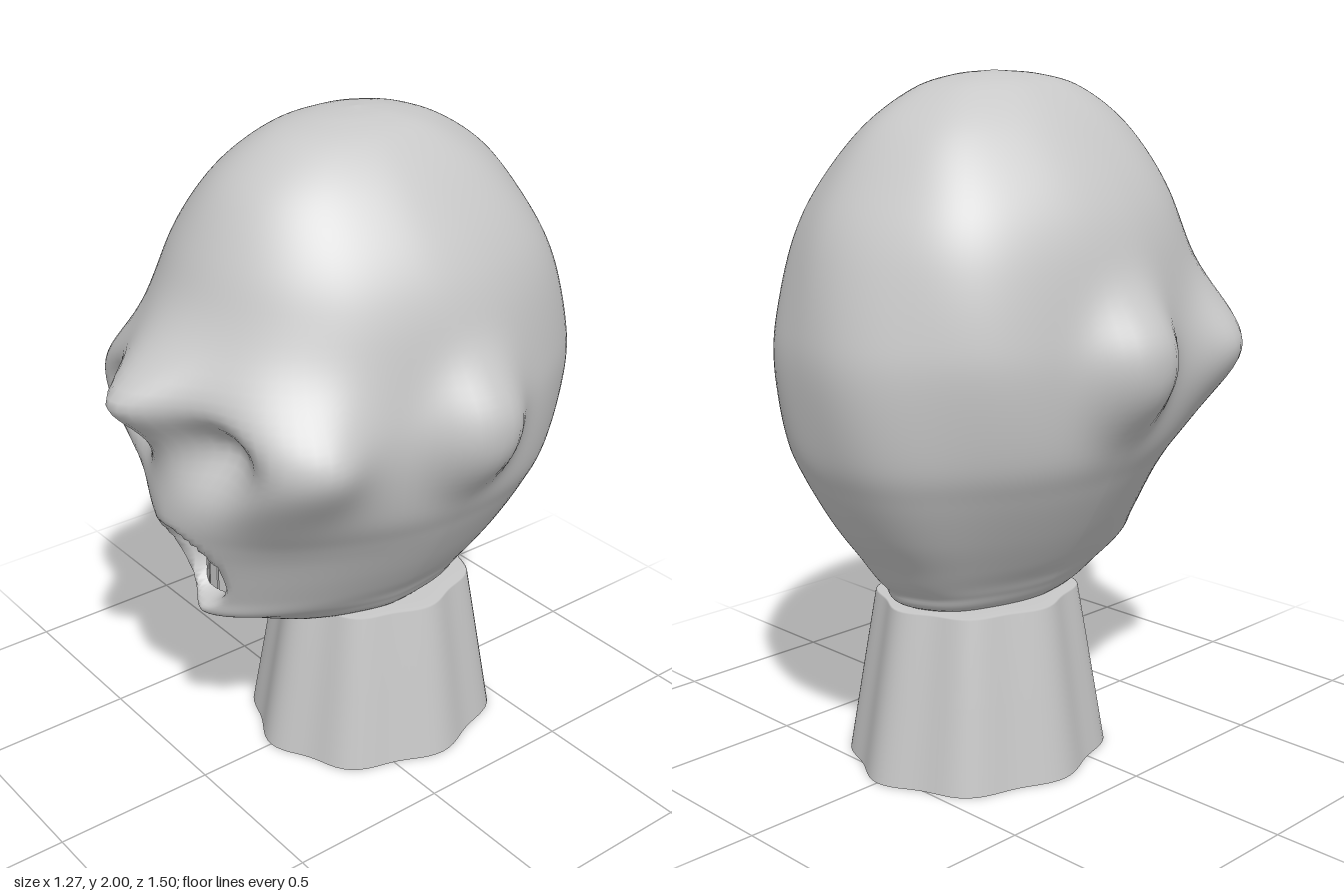
import * as THREE from 'three';

const ZC = -0.08; // head axis
// Head rows from crown to throat: height, half width, front z, back z
const ROWS = [
  [2, 0, -0.08, -0.08], [1.988, 0.1, 0.07, -0.2], [1.95, 0.195, 0.21, -0.33],
  [1.85, 0.31, 0.35, -0.48], [1.7, 0.425, 0.45, -0.6], [1.55, 0.49, 0.5, -0.68],
  [1.35, 0.525, 0.53, -0.735], [1.2, 0.53, 0.56, -0.75], [1.0, 0.5, 0.6, -0.725],
  [0.88, 0.445, 0.59, -0.68], [0.75, 0.37, 0.54, -0.61], [0.65, 0.305, 0.5, -0.54],
  [0.59, 0.26, 0.48, -0.5], [0.55, 0.235, 0.39, -0.465], [0.5, 0.195, 0.28, -0.42],
  [0.45, 0.1, 0.16, -0.2], [0.44, 0, -0.08, -0.08],
];

// Sculpted features: centre, spread, push, falloff power; mirrored in x when off the axis
const FEATURES = [
  { c: [0.53, 1.23, -0.08], s: [0.3, 0.18, 0.15], d: [0.105, 0, 0], p: 2.8 },    // ear
  { c: [0.38, 1.22, 0.37], s: [0.15, 0.17, 0.14], d: [0.13, 0, 0.01], p: 1.8 },  // cheekbone
  { c: [0.28, 1.2, 0.46], s: [0.1, 0.19, 0.15], d: [0.045, 0, 0.07], p: 2 },     // orbital rim
  { c: [0.18, 1.2, 0.54], s: [0.095, 0.11, 0.3], d: [0, 0.01, -0.12], p: 2 },    // eye socket
  { c: [0, 1.335, 0.53], s: [0.2, 0.14, 0.4], d: [0, 0, 0.22], p: 1.6 },         // brow point
  { c: [0, 0.77, 0.53], s: [0.085, 0.125, 0.4], d: [0, 0, -0.22], p: 6 },        // mouth
];

function sculpt(v) {
  const out = v.clone();
  for (const { c, s, d, p } of FEATURES) {
    for (const m of c[0] === 0 ? [1] : [1, -1]) {
      const r = Math.hypot((v.x - m * c[0]) / s[0], (v.y - c[1]) / s[1], (v.z - c[2]) / s[2]);
      const k = Math.exp(-Math.pow(r, p));
      out.x += m * d[0] * k;
      out.y += d[1] * k;
      out.z += d[2] * k;
    }
  }
  return out;
}

// Smooth closed surface through rings of points, first ring on top
function loft(rows, cols, pointAt) {
  const pos = [], index = [];
  for (let i = 0; i <= rows; i++) {
    for (let j = 0; j < cols; j++) {
      const p = pointAt(i / rows, (j / cols) * Math.PI * 2);
      pos.push(p.x, p.y, p.z);
      if (i === rows) continue;
      const n = (j + 1) % cols;
      const a = i * cols + j, b = a + cols, c = i * cols + n, d = c + cols;
      index.push(a, b, c, c, b, d);
    }
  }
  const g = new THREE.BufferGeometry();
  g.setAttribute('position', new THREE.Float32BufferAttribute(pos, 3));
  g.setIndex(index);
  g.computeVertexNormals();
  return g;
}

function headGeometry() {
  const curve = (f) => new THREE.CatmullRomCurve3(ROWS.map(f), false, 'catmullrom', 0.5);
  const side = curve((r) => new THREE.Vector3(r[1], r[0], 0));
  const depth = curve((r) => new THREE.Vector3(r[2], r[0], r[3]));
  const pow = (v, e) => Math.sign(v) * Math.pow(Math.abs(v), e);
  return loft(112, 128, (t, a) => {
    const w = side.getPoint(t), f = depth.getPoint(t), y = w.y;
    const s = Math.sin(a), c = Math.cos(a);
    // face narrows to a wedge towards the chin
    const e = c > 0 ? 2 / (2.05 - 0.5 * THREE.MathUtils.smoothstep(1.2 - y, 0, 0.4)) : 0.96;
    // faint spiral waves over the skull
    const wave = 1 + 0.008 * Math.sin(8 * a + 5 * y) * Math.min(1, Math.max(0, (0.7 - c) * 2));
    const reach = c > 0 ? f.x - ZC : ZC - f.z;
    return sculpt(new THREE.Vector3(w.x * pow(s, e) * wave, y, ZC + reach * pow(c, e) * wave));
  });
}

// Flared fluted neck, closed on top and open below
function neckGeometry() {
  const rings = [[0, 0.5], [0.8, 0.5], [0.985, 0.5], [1, 0.497], [1.14, 0.25], [1.28, 0]];
  return loft(rings.length - 1, 96, (t, a) => {
    const [k, y] = rings[Math.round(t * (rings.length - 1))];
    const r = k * (1 + 0.035 * Math.cos(8 * a));
    return new THREE.Vector3(0.274 * r * Math.sin(a), y, -0.155 + 0.305 * r * Math.cos(a));
  });
}

export function createModel() {
  const group = new THREE.Group();
  const clay = new THREE.MeshStandardMaterial({ color: 0xc8c8c8, side: THREE.DoubleSide });
  clay.name = 'grey clay';
  const add = (name, geometry, parent = group) => {
    const mesh = new THREE.Mesh(geometry, clay);
    mesh.name = name;
    parent.add(mesh);
    return mesh;
  };

  add('head', headGeometry());
  add('neck', neckGeometry());

  // Curved row of lower teeth
  const teeth = new THREE.Group();
  teeth.name = 'lowerTeeth';
  for (let i = -2; i <= 2; i++) {
    const a = i * 0.38;
    const tooth = add('tooth', new THREE.BoxGeometry(0.036, 0.08, 0.03), teeth);
    tooth.position.set(0.095 * Math.sin(a), 0.7, 0.33 + 0.095 * Math.cos(a));
    tooth.rotation.y = a;
  }
  group.add(teeth);

  // Arched upper tooth plate
  const arch = new THREE.Shape();
  arch.moveTo(-0.065, 0);
  arch.quadraticCurveTo(0, 0.085, 0.065, 0);
  const plate = add('upperTeeth', new THREE.ExtrudeGeometry(arch, { depth: 0.06, bevelEnabled: false }));
  plate.position.set(0, 0.865, 0.43);

  return group;
}
